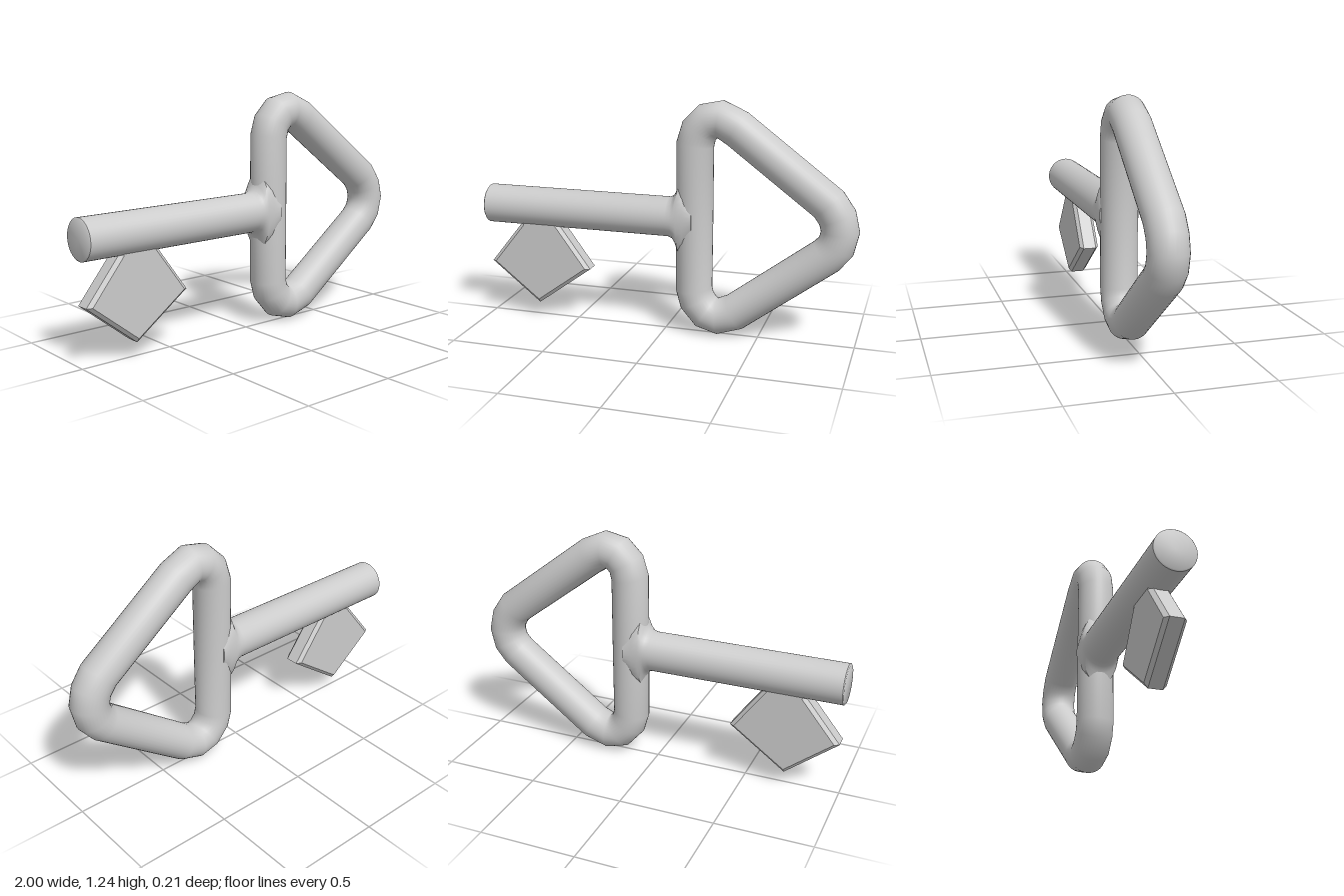
import * as THREE from 'three';
import { toCreasedNormals } from 'three/addons/utils/BufferGeometryUtils.js';

const AXIS_Y = 0.62;
const SHAFT_R = 0.104;

// Closed polyline whose samples are exactly its corner points
class CornerLoop extends THREE.Curve {
  constructor(points) {
    super();
    this.points = points.map(([x, y]) => new THREE.Vector3(x, y, 0));
  }
  corner(i) {
    const n = this.points.length;
    return this.points[((i % n) + n) % n];
  }
  getPointAt(u) {
    return this.corner(Math.round(u * this.points.length)).clone();
  }
  getTangentAt(u) {
    const i = Math.round(u * this.points.length);
    const before = this.corner(i).clone().sub(this.corner(i - 1)).normalize();
    const after = this.corner(i + 1).clone().sub(this.corner(i)).normalize();
    return before.add(after).normalize();
  }
}

// Rounded triangular handle
function handleGeometry() {
  const loop = new CornerLoop([
    [0.155, 0.24], [0.155, 0.62], [0.155, 1.01], [0.175, 1.08], [0.222, 1.128],
    [0.285, 1.142], [0.37, 1.1], [0.84, 0.745], [0.885, 0.68], [0.902, 0.61],
    [0.885, 0.535], [0.84, 0.48], [0.375, 0.13], [0.285, 0.098], [0.222, 0.116],
    [0.172, 0.175],
  ]);
  return new THREE.TubeGeometry(loop, loop.points.length, 0.096, 32, true);
}

// Round shaft whose end flares up and down into the handle
function shaftGeometry() {
  const profile = [
    [-1, 0], [-1, 0.098], [-0.995, SHAFT_R], [0.02, SHAFT_R], [0.045, 0.115],
    [0.062, 0.145], [0.078, 0.2], [0.11, 0.2], [0.16, 0.11], [0.18, 0],
  ].map(([x, r]) => new THREE.Vector2(r, x));
  const geometry = new THREE.LatheGeometry(profile, 40);
  geometry.rotateZ(-Math.PI / 2);
  const p = geometry.attributes.position;
  for (let i = 0; i < p.count; i++) {
    // the flare widens in height only
    const r = Math.hypot(p.getY(i), p.getZ(i));
    if (r > SHAFT_R) p.setZ(i, p.getZ(i) * SHAFT_R / r);
  }
  return toCreasedNormals(geometry, 0.7);
}

// Five-sided bevelled plate, its neck running up into the shaft
function bitGeometry() {
  const bevel = 0.018;
  const shape = new THREE.Shape([
    [-0.965, 0.302], [-0.715, 0.104], [-0.442, 0.302], [-0.61, 0.53],
    [-0.61, 0.6], [-0.79, 0.6], [-0.79, 0.52],
  ].map(([x, y]) => new THREE.Vector2(x, y)));
  const geometry = new THREE.ExtrudeGeometry(shape, {
    depth: 0.07, bevelEnabled: true, bevelSize: bevel,
    bevelThickness: bevel, bevelSegments: 1,
  });
  return geometry.translate(0, 0, -0.035);
}

export function createModel() {
  const model = new THREE.Group();
  model.name = 'key';
  const material = new THREE.MeshStandardMaterial({ color: 0xcccccc });
  const add = (name, geometry, y = 0) => {
    const mesh = new THREE.Mesh(geometry, material);
    mesh.name = name;
    mesh.position.y = y;
    model.add(mesh);
  };
  add('handle', handleGeometry());
  add('shaft', shaftGeometry(), AXIS_Y);
  add('bit', bitGeometry());
  return model;
}
